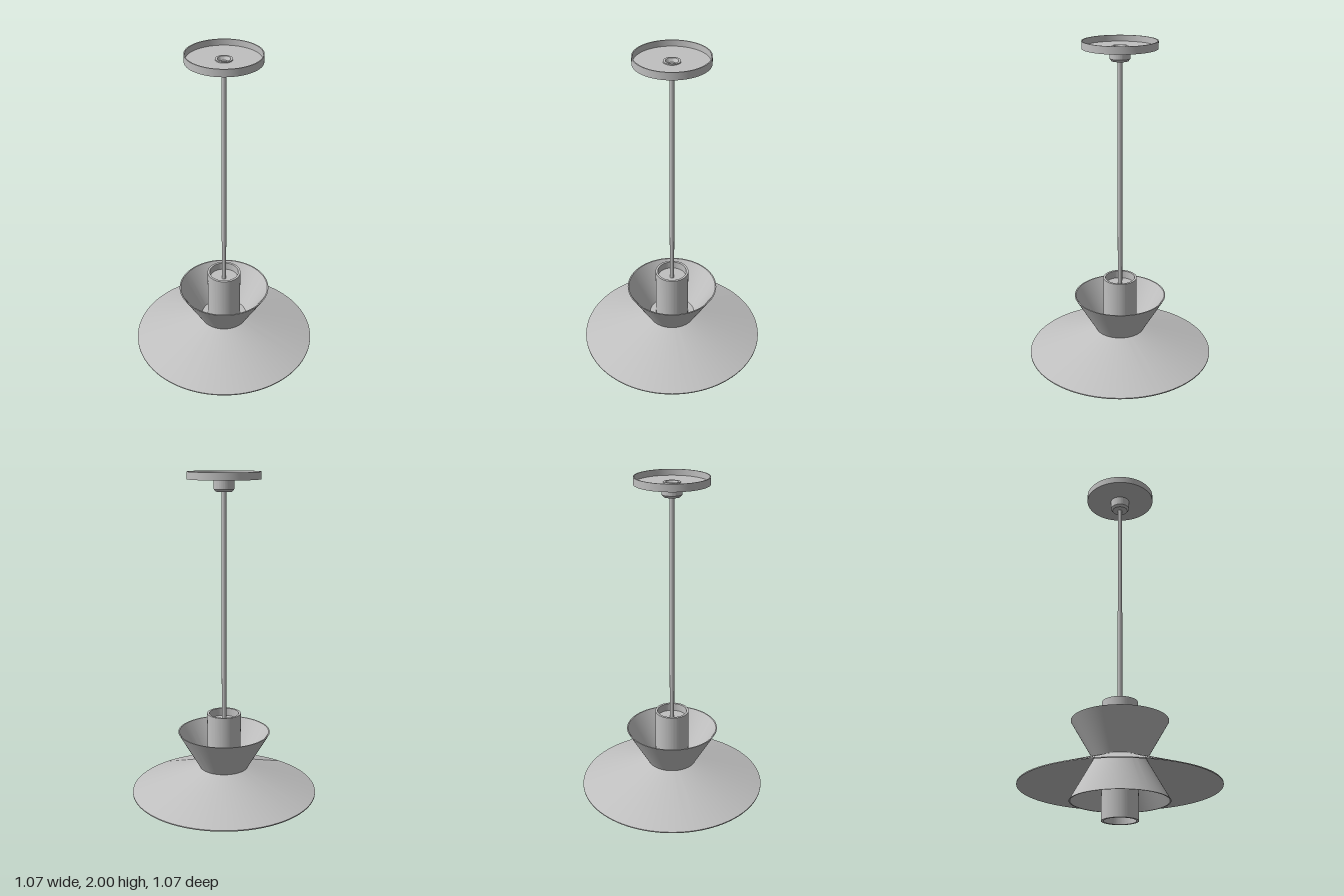
import * as THREE from 'three';
import { toCreasedNormals } from 'three/addons/utils/BufferGeometryUtils.js';

export function createModel() {
  const group = new THREE.Group();
  group.name = 'pendantLamp';
  const metal = new THREE.MeshStandardMaterial({ color: 0xc0c0c0 });
  metal.name = 'paleGreyMetal';

  // Solid of revolution from a closed, counter-clockwise (radius, height) profile
  function turned(name, profile) {
    const points = [...profile, profile[0]].map(([r, y]) => new THREE.Vector2(r, y));
    const geometry = toCreasedNormals(new THREE.LatheGeometry(points, 96), 0.4);
    const mesh = new THREE.Mesh(geometry, metal);
    mesh.name = name;
    group.add(mesh);
  }

  // Ceiling canopy: a shallow dish open at the top
  turned('ceilingCanopy', [
    [0.03, 1.96], [0.2, 1.96], [0.2, 2], [0.194, 2], [0.194, 1.967], [0.03, 1.967],
  ]);

  // Cord grip under the canopy, with a collar and funnel above its floor
  turned('cordGrip', [
    [0.012, 1.895], [0.045, 1.895], [0.055, 1.908], [0.055, 1.962], [0.045, 1.962],
    [0.045, 1.973], [0.033, 1.973], [0.022, 1.955], [0.012, 1.955],
  ]);

  // Suspension rod
  const rod = new THREE.Mesh(new THREE.CylinderGeometry(0.013, 0.013, 1.36, 32), metal);
  rod.name = 'suspensionRod';
  rod.position.y = 1.28;
  group.add(rod);

  // Central tube, recessed at both ends
  turned('centralTube', [
    [0, 0.04], [0.084, 0.04], [0.084, 0], [0.097, 0], [0.097, 0.645],
    [0.084, 0.645], [0.084, 0.6], [0, 0.6],
  ]);

  // Collar joining the shades to the tube at the waist
  turned('waistCollar', [
    [0.09, 0.317], [0.138, 0.317], [0.138, 0.323], [0.09, 0.323],
  ]);

  // Upward-flaring reflector
  turned('upperShade', [
    [0.14, 0.32], [0.265, 0.535], [0.258, 0.535], [0.133, 0.32],
  ]);

  // Broad shallow main shade
  turned('mainShade', [
    [0.14, 0.314], [0.535, 0.174], [0.535, 0.18], [0.14, 0.322],
  ]);

  // Downward-flaring inner shade
  turned('lowerShade', [
    [0.133, 0.32], [0.258, 0.1], [0.265, 0.1], [0.14, 0.32],
  ]);

  return group;
}
